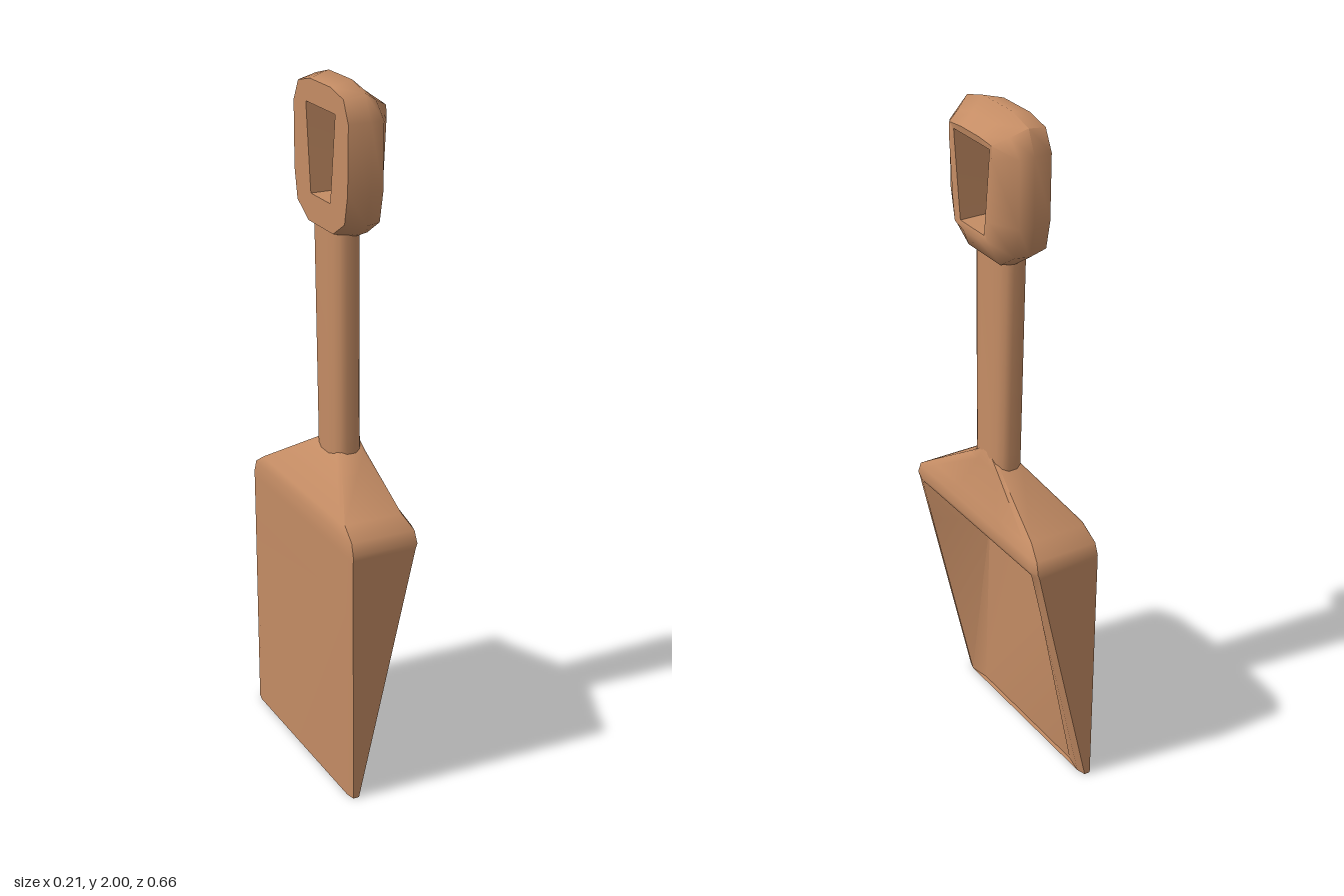
import * as THREE from 'three';
import { toCreasedNormals, mergeVertices } from 'three/addons/utils/BufferGeometryUtils.js';

// Skin a list of equal-sized closed rings of [x, y, z] points.
function loft(rings, { wrap = false, caps = false, crease = 0.9 } = {}) {
  const n = rings[0].length;
  const index = [];
  const last = wrap ? rings.length : rings.length - 1;
  for (let r = 0; r < last; r++) {
    const s = (r + 1) % rings.length;
    for (let i = 0; i < n; i++) {
      const j = (i + 1) % n;
      const a = r * n + i, b = r * n + j, c = s * n + j, d = s * n + i;
      index.push(a, b, c, a, c, d);
    }
  }
  if (caps) {
    const top = (rings.length - 1) * n;
    // strips between mirrored points
    for (let i = 0; i < n / 2 - 1; i++) {
      const a = i, b = i + 1, c = n - 2 - i, d = n - 1 - i;
      index.push(a, c, b, a, d, c);
      index.push(top + a, top + b, top + c, top + a, top + c, top + d);
    }
  }
  const geo = new THREE.BufferGeometry();
  geo.setAttribute('position', new THREE.Float32BufferAttribute(rings.flat(2), 3));
  geo.setIndex(index);
  return toCreasedNormals(mergeVertices(geo), crease);
}

export function createModel() {
  const group = new THREE.Group();
  const clay = new THREE.MeshStandardMaterial({ color: 0xc48c64 });
  clay.name = 'tan';
  const add = (name, geo) => {
    const mesh = new THREE.Mesh(geo, clay);
    mesh.name = name;
    group.add(mesh);
  };

  // Scoop: U-shaped sections that close into the shoulders above the cavity.
  // y, back x, back half width, half width, rim x, rim half width, floor x, floor half width
  const sections = [
    [0.0, -0.1, 0.3, 0.327, -0.068, 0.3, -0.08, 0.24],
    [0.61, -0.104, 0.3, 0.329, 0.069, 0.3, -0.07, 0.195],
    [0.75, -0.105, 0.3, 0.33, 0.1, 0.3, 0.099, 0.295],
    [0.765, -0.105, 0.3, 0.33, 0.105, 0.3, 0.105, 0.2],
    [0.8, -0.104, 0.29, 0.318, 0.102, 0.285, 0.102, 0.15],
    [0.832, -0.1, 0.25, 0.268, 0.088, 0.235, 0.09, 0.1],
    [0.95, -0.018, 0.06, 0.078, 0.066, 0.07, 0.07, 0.03],
    [1.0, 0.02, 0.005, 0.008, 0.06, 0.006, 0.062, 0.003],
  ];
  const scoopRings = sections.map(([y, back, backW, w, rim, rimW, floor, floorW]) => {
    const half = [
      [back, y, backW],
      [back + 0.006, y, w],
      [rim - 0.008, y, w],
      [rim, y, rimW],
      [floor, y, floorW],
    ];
    return [...half, ...half.map(([x, h, z]) => [x, h, -z]).reverse()];
  });
  add('scoop', loft(scoopRings, { caps: true, crease: 0.8 }));

  // Shaft: flattened oval sections. y, back x, front x, half width
  const soft = (v) => Math.sign(v) * Math.abs(v) ** 0.75;
  const shaftRings = [
    [0.85, -0.025, 0.072, 0.078],
    [1.0, -0.026, 0.064, 0.08],
    [1.58, -0.033, 0.056, 0.091],
    [1.63, -0.033, 0.056, 0.091],
  ].map(([y, back, front, w]) =>
    Array.from({ length: 16 }, (_, i) => {
      const a = ((i + 0.5) / 16) * Math.PI * 2;
      return [(back + front) / 2 - soft(Math.cos(a)) * (front - back) / 2, y, soft(Math.sin(a)) * w];
    }));
  add('shaft', loft(shaftRings, { caps: true, crease: 1 }));

  // Grip: a ring between an outer outline and a tapered hole, as [z, y] halves.
  const mirror = (half) => [...half, ...half.map(([z, y]) => [-z, y]).reverse()];
  const outer = mirror([[0.085, 1.58], [0.16, 1.63], [0.18, 1.72], [0.18, 1.91], [0.15, 1.978], [0.07, 2.0]]);
  const hole = mirror([[0.025, 1.672], [0.06, 1.672], [0.066, 1.72], [0.086, 1.89], [0.089, 1.918], [0.035, 1.918]]);
  // x, inset towards the hole at the sides, inset along the top
  const layers = [
    [0.1, 1, 1],
    [0.104, 0.78, 0.75],
    [0.063, 0.07, 0.4],
    [0.022, 0, 0],
    [-0.037, 0.14, 0.2],
    [-0.037, 1, 1],
  ];
  const gripRings = layers.map(([x, side, top]) =>
    outer.map(([z, y], i) => {
      const t = y > 1.95 ? top : side;
      return [x, y + (hole[i][1] - y) * t, z + (hole[i][0] - z) * t];
    }));
  add('grip', loft(gripRings, { wrap: true, crease: 1.1 }));

  return group;
}
